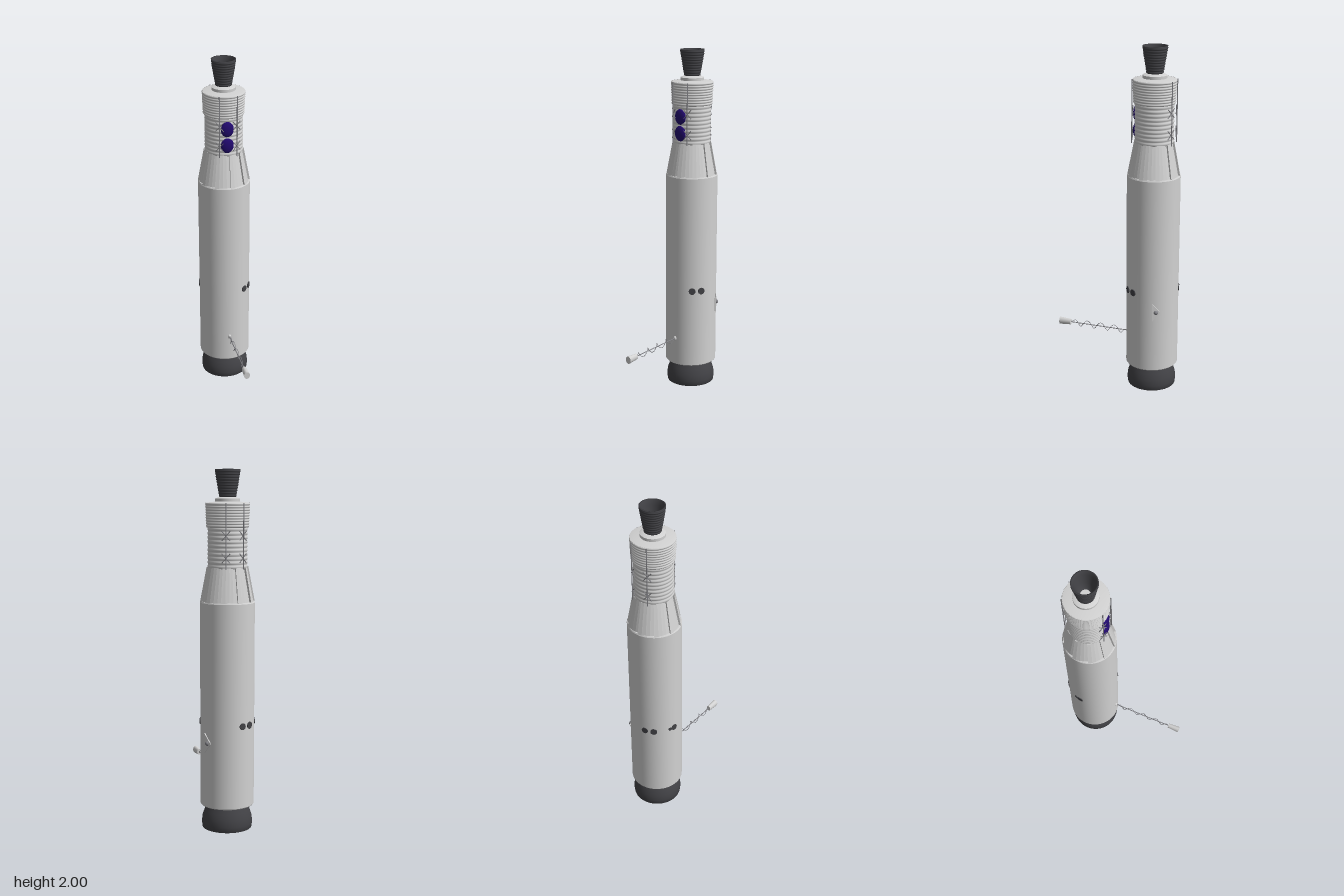
import * as THREE from 'three';

const mat = (name, color, side = THREE.FrontSide) => {
  const m = new THREE.MeshStandardMaterial({ color, side });
  m.name = name;
  return m;
};

export function createModel() {
  const hull = mat('hullGrey', 0xd2d2d2, THREE.DoubleSide);
  const dark = mat('engineCharcoal', 0x424246, THREE.DoubleSide);
  const violet = mat('dishViolet', 0x220a70);
  const metal = mat('strutGrey', 0x85858a);

  const model = new THREE.Group();
  const ship = new THREE.Group();
  ship.name = 'ship';
  ship.position.z = -0.216;
  model.add(ship);

  const add = (name, geo, material, parent = ship) => {
    const m = new THREE.Mesh(geo, material);
    m.name = name;
    parent.add(m);
    return m;
  };
  // Revolved profile of [radius, y]; repeating a point makes a sharp edge
  const lathe = (name, pts, material, sharp = false, seg = 48) => {
    const list = sharp ? pts.flatMap((p, i) => (i && i < pts.length - 1 ? [p, p] : [p])) : pts;
    return add(name, new THREE.LatheGeometry(list.map(p => new THREE.Vector2(...p)), seg), material);
  };
  // Group standing on the hull at a heading, with local +z pointing outward
  const mount = (name, heading, r, y) => {
    const g = new THREE.Group();
    const a = THREE.MathUtils.degToRad(heading);
    g.name = name;
    g.position.set(Math.sin(a) * r, y, Math.cos(a) * r);
    g.rotation.y = a;
    ship.add(g);
    return g;
  };
  const bar = (name, a, b, r, material, parent) => {
    const path = new THREE.LineCurve3(new THREE.Vector3(...a), new THREE.Vector3(...b));
    return add(name, new THREE.TubeGeometry(path, 1, r, 6), material, parent);
  };
  // Stack of rounded rings between two heights
  const ribs = (y0, y1, r0, r1, count, depth) => {
    const pts = [];
    const n = count * 6;
    for (let i = 0; i <= n; i++) {
      const t = i / n;
      const bulge = Math.abs(Math.sin(t * count * Math.PI));
      pts.push([r0 + (r1 - r0) * t - depth + depth * bulge, y0 + (y1 - y0) * t]);
    }
    return pts;
  };

  // Main engine: bowl-shaped bell with a hollow underside
  lathe('mainEngine', [[0, 0.06], [0.07, 0.045], [0.132, 0], [0.139, 0], [0.143, 0.03],
    [0.139, 0.065], [0.127, 0.1], [0.108, 0.14]], dark);

  // Main hull
  lathe('mainHull', [[0, 0.135], [0.147, 0.135], [0.151, 0.14], [0.151, 1.278],
    [0.147, 1.285], [0, 1.285]], hull, true, 64);

  // Pleated shoulder made of overlapping tapered panels
  const panels = 10;
  const steps = 4;
  const pos = [];
  const uvPoint = (a, r, y) => [Math.sin(a) * r, y, Math.cos(a) * r];
  const quad = (a0, b0, t0, a1, b1, t1) => {
    const p = uvPoint(a0, b0, 1.283), q = uvPoint(a1, b1, 1.283);
    const s = uvPoint(a1, t1, 1.472), u = uvPoint(a0, t0, 1.472);
    pos.push(...p, ...q, ...s, ...p, ...s, ...u);
  };
  for (let i = 0; i < panels; i++) {
    const at = k => ((i + k / steps) / panels) * Math.PI * 2 + 0.05;
    for (let k = 0; k < steps; k++) {
      const drop = 0.011 / steps;
      quad(at(k), 0.151 - drop * k, 0.115 - drop * k,
        at(k + 1), 0.151 - drop * (k + 1), 0.115 - drop * (k + 1));
    }
    quad(at(steps), 0.14, 0.104, at(steps), 0.151, 0.115);
  }
  const pleats = new THREE.BufferGeometry();
  pleats.setAttribute('position', new THREE.Float32BufferAttribute(pos, 3));
  pleats.computeVertexNormals();
  add('pleatedShoulder', pleats, hull);

  // Ribbed neck, wider ribbed collar and the domed top plate
  lathe('ribbedNeck', ribs(1.465, 1.69, 0.11, 0.11, 10, 0.004), hull);
  lathe('ribbedCollar', [[0.1, 1.685], ...ribs(1.688, 1.82, 0.118, 0.123, 9, 0.004)], hull);
  lathe('collarTop', [[0.121, 1.819], [0.1, 1.823], [0.068, 1.826], [0.068, 1.826],
    [0.068, 1.842], [0.068, 1.842], [0.045, 1.852], [0, 1.854]], hull);

  // Ribbed upper cone, open at the top
  lathe('upperCone', [[0.026, 1.85], ...ribs(1.85, 1.995, 0.047, 0.071, 10, 0.003),
    [0.07, 2], [0.062, 2], [0.057, 1.97], [0.045, 1.91], [0.036, 1.87], [0.026, 1.862]], dark);
  const floor = add('coneFloor', new THREE.CylinderGeometry(0.027, 0.027, 0.014, 24), hull);
  floor.position.y = 1.858;

  // Vertical neck rods, each with two crossed braces
  for (const heading of [24, 156, 204, 336]) {
    const rod = mount('neckRod', heading, 0.125, 0);
    bar('rod', [0, 1.465, 0], [0, 1.82, 0], 0.003, metal, rod);
    for (const y of [1.525, 1.645]) {
      for (const s of [-1, 1]) {
        bar('crossBrace', [-0.023, y - 0.026 * s, -0.008], [0.023, y + 0.026 * s, -0.002],
          0.0025, metal, rod);
      }
    }
  }

  // Pair of shallow bulging dishes on the front of the neck
  for (const y of [1.53, 1.625]) {
    const dish = add('neckDish', new THREE.SphereGeometry(1, 24, 16), violet);
    dish.scale.set(0.037, 0.045, 0.016);
    dish.position.set(-0.004, y, 0.105);
  }

  // Dark ports around the hull
  for (const [heading, r] of [[39, 0.02], [60, 0.02], [194, 0.019], [214, 0.02],
    [251, 0.01], [262, 0.019]]) {
    const port = mount('hullPort', heading, 0.151, 0.605);
    const disc = add('portDisc', new THREE.CylinderGeometry(r, r, 0.008, 16), dark, port);
    disc.rotation.x = Math.PI / 2;
  }

  // Triangular side bracket with a small round sensor
  const bracket = mount('sideBracket', 115, 0.15, 0.505);
  const tri = new THREE.Shape([[-0.022, -0.055], [0.022, -0.005], [0.022, 0.005], [-0.022, 0.055]]
    .map(p => new THREE.Vector2(...p)));
  add('bracketPlate', new THREE.ExtrudeGeometry(tri, { depth: 0.006, bevelEnabled: false }), hull, bracket);
  const sensor = add('sensor', new THREE.SphereGeometry(0.013, 16, 12), metal, bracket);
  sensor.position.z = 0.004;

  // Front boom: base, rod, spiral wire and end cup
  const boom = mount('frontBoom', 0, 0, 0.3);
  boom.position.x = -0.004;
  const base = add('boomBase', new THREE.SphereGeometry(1, 16, 12), hull, boom);
  base.scale.set(0.01, 0.014, 0.01);
  base.position.z = 0.151;
  bar('boomRod', [0, 0, 0.15], [0, 0, 0.52], 0.0028, metal, boom);
  const helix = [];
  for (let i = 0; i <= 64; i++) {
    const t = i / 64;
    const a = t * Math.PI * 8.4;
    const w = Math.min(1, t * 12, (1 - t) * 12);
    helix.push(new THREE.Vector3(Math.sin(a) * 0.009 * w, Math.cos(a) * 0.02 * w, 0.155 + 0.36 * t));
  }
  add('spiralWire', new THREE.TubeGeometry(new THREE.CatmullRomCurve3(helix), 160, 0.0016, 6), metal, boom);
  const cup = add('endCup', new THREE.CylinderGeometry(0.0175, 0.0135, 0.07, 24), hull, boom);
  cup.rotation.x = Math.PI / 2;
  cup.scale.z = 1.28;
  cup.position.z = 0.551;

  return model;
}
